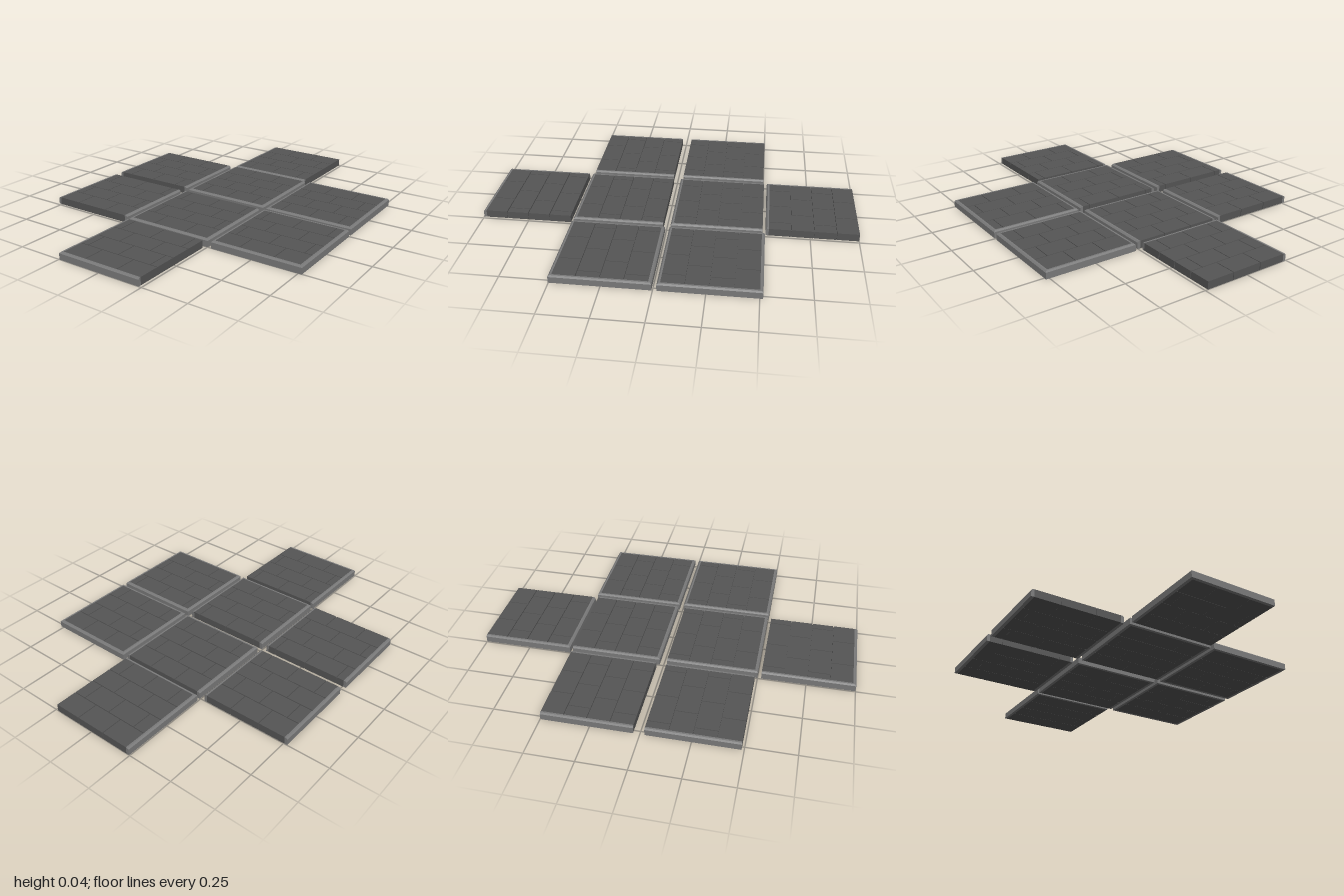
import * as THREE from 'three';
import { mergeGeometries } from 'three/addons/utils/BufferGeometryUtils.js';

const CORE = 0.465, HALF = CORE / 2, TOP = 0.04, TRIM = 0.016, CHAMFER = 0.007, GAP = 0.004, ROWS = 4;

const brickMat = new THREE.MeshStandardMaterial({ color: 0x555555, flatShading: true });
const trimMat = new THREE.MeshStandardMaterial({ color: 0x7a7a7a, flatShading: true });

// One row-by-row layer of staggered bricks filling the tile core.
function brickGeometry(spacing, phase) {
  const parts = [];
  const depth = CORE / ROWS;
  for (let r = 0; r < ROWS; r++) {
    const odd = (r + phase) % 2 === 1;
    const joints = odd ? [-spacing, 0, spacing] : [-spacing / 2, spacing / 2];
    const edges = [-HALF, ...joints, HALF];
    for (let i = 0; i < edges.length - 1; i++) {
      const x0 = edges[i] + (i > 0 ? GAP / 2 : 0);
      const x1 = edges[i + 1] - (i < edges.length - 2 ? GAP / 2 : 0);
      const z0 = -HALF + r * depth + (r > 0 ? GAP / 2 : 0);
      const z1 = -HALF + (r + 1) * depth - (r < ROWS - 1 ? GAP / 2 : 0);
      const box = new THREE.BoxGeometry(x1 - x0, TOP, z1 - z0);
      box.translate((x0 + x1) / 2, TOP / 2, (z0 + z1) / 2);
      parts.push(box);
    }
  }
  return mergeGeometries(parts);
}

// Chamfered edging for one side (0 front, 1 left, 2 back, 3 right of the model),
// mitred wherever the neighbouring side has edging too.
function trimGeometry(side, sides) {
  const profile = new THREE.Shape([
    new THREE.Vector2(0, 0),
    new THREE.Vector2(TRIM, 0),
    new THREE.Vector2(TRIM, TOP - CHAMFER),
    new THREE.Vector2(TRIM - CHAMFER, TOP),
    new THREE.Vector2(0, TOP),
  ]);
  const geo = new THREE.ExtrudeGeometry(profile, { depth: CORE, bevelEnabled: false });
  geo.translate(0, 0, -HALF).rotateY(-Math.PI / 2);
  const p = geo.attributes.position;
  for (let i = 0; i < p.count; i++) {
    const dir = Math.sign(p.getX(i));
    if (sides.includes((side + dir + 4) % 4)) p.setX(i, p.getX(i) + dir * p.getZ(i));
  }
  geo.translate(0, 0, HALF).rotateY(side * Math.PI / 2);
  geo.computeVertexNormals();
  return geo;
}

function makeTile({ name, x, z, sides, spacing, phase }) {
  const tile = new THREE.Group();
  tile.name = name;
  tile.position.set(x, 0, z);

  const bricks = new THREE.Mesh(brickGeometry(spacing, phase), brickMat);
  bricks.name = 'bricks';

  // Mortar bed showing at the bottom of the joints
  const bed = new THREE.Mesh(new THREE.BoxGeometry(CORE - 0.008, 0.032, CORE - 0.008), brickMat);
  bed.name = 'mortarBed';
  bed.position.y = 0.0165;

  const trim = new THREE.Mesh(mergeGeometries(sides.map((s) => trimGeometry(s, sides))), trimMat);
  trim.name = 'edgeTrim';

  tile.add(bricks, bed, trim);
  return tile;
}

export function createModel() {
  const group = new THREE.Group();
  group.name = 'floorTiles';
  const F = 0, L = 1, B = 2, R = 3;
  const back = { spacing: 0.165, phase: 0 };
  const front = { spacing: 0.19, phase: 1 };
  const tiles = [
    { name: 'backTile', x: 0.0025, z: -0.7675, sides: [F, R], ...back },
    { name: 'middleBackTile', x: 0.0025, z: -0.27, sides: [F, L, R], ...back },
    { name: 'rightBackTile', x: -0.521, z: -0.266, sides: [L, R], ...back },
    { name: 'leftBackTile', x: 0.52, z: -0.267, sides: [F, L, B, R], ...back },
    { name: 'middleFrontTile', x: 0.0025, z: 0.251, sides: [F, L, R], ...front },
    { name: 'rightFrontTile', x: -0.521, z: 0.255, sides: [L, R], ...front },
    { name: 'leftFrontTile', x: 0.52, z: 0.254, sides: [F, L, B, R], ...front },
    { name: 'frontTile', x: 0.0025, z: 0.7515, sides: [F, R], ...front },
  ];
  tiles.forEach((t) => group.add(makeTile(t)));
  return group;
}
